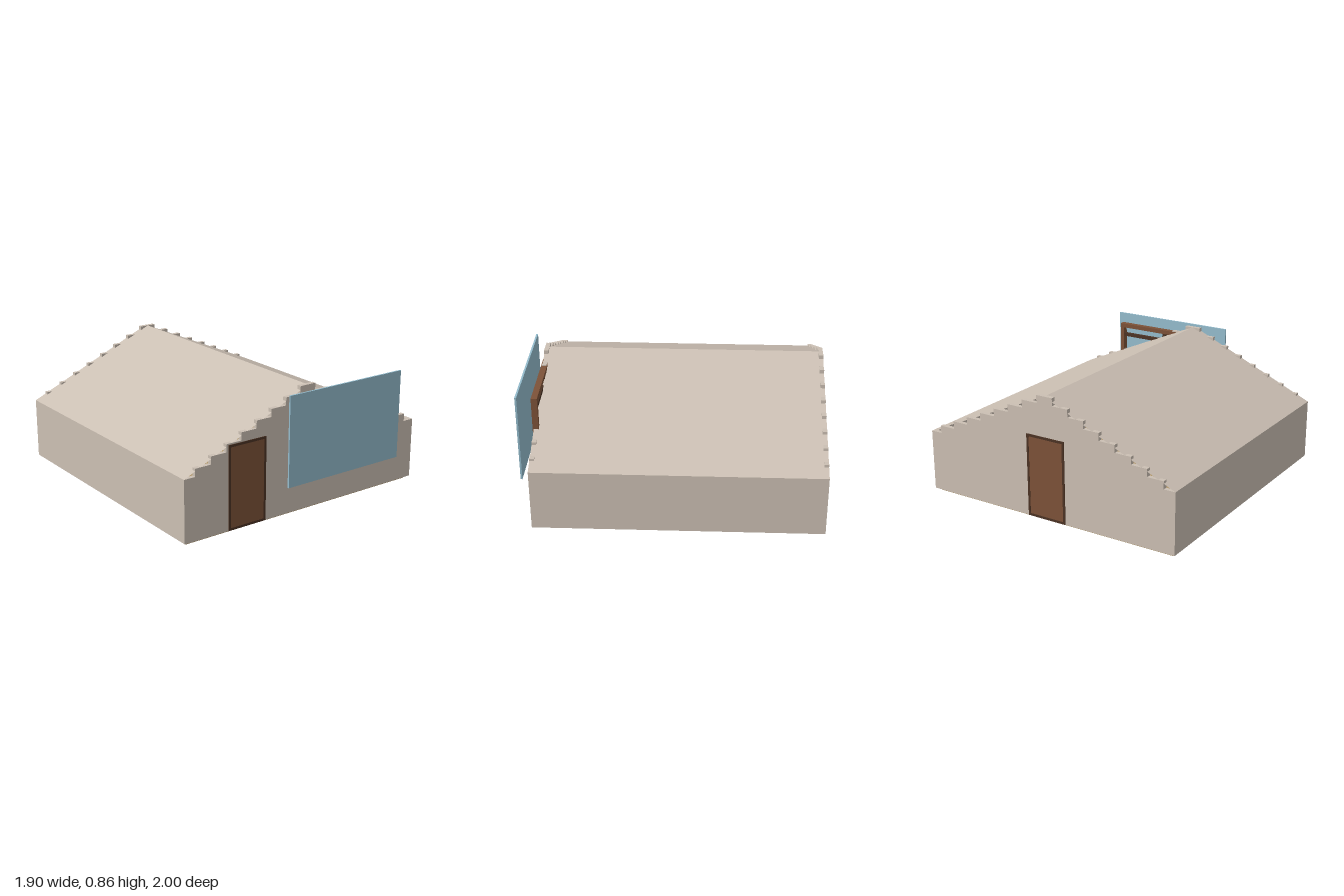
import * as THREE from 'three';

const mat = (color) => new THREE.MeshStandardMaterial({ color, side: THREE.DoubleSide });

const FRONT = 0.905, BACK = -0.995, THICK = 0.03, HALF = 0.95, EAVE = 0.44, RIDGE = 0.86, FLOOR = 0.02;

export function createModel() {
  const model = new THREE.Group();
  const stone = mat(0xcbbfb3), wood = mat(0x7d5238), darkWood = mat(0x4c3324);
  const glass = mat(0x94bccd), boards = mat(0xb0966a);

  // Box given by its min and max corners
  const box = (name, material, [x0, y0, z0], [x1, y1, z1], parent = model) => {
    const mesh = new THREE.Mesh(new THREE.BoxGeometry(x1 - x0, y1 - y0, z1 - z0), material);
    mesh.position.set((x0 + x1) / 2, (y0 + y1) / 2, (z0 + z1) / 2);
    mesh.name = name;
    parent.add(mesh);
    return mesh;
  };

  box('floor', boards, [-0.92, 0, -0.965], [0.92, 0.025, 0.875]);

  // Side walls
  for (const s of [-1, 1]) {
    const inner = s * (HALF - THICK), outer = s * HALF;
    box(s > 0 ? 'leftWall' : 'rightWall', stone,
      [Math.min(inner, outer), FLOOR, BACK], [Math.max(inner, outer), EAVE, FRONT]);
  }

  // Stepped gable outline, from the right eave up to the ridge
  const rise = (RIDGE - EAVE) / 8;
  const rightSteps = [[-HALF, EAVE]];
  for (let i = 1; i <= 8; i++) {
    const x = -0.06 - (8 - i) * 0.1155;
    rightSteps.push([x, EAVE + (i - 1) * rise], [x, EAVE + i * rise]);
  }
  const leftSteps = rightSteps.map(([x, y]) => [-x, y]).reverse();

  const gable = (name, steps, z) => {
    const shape = new THREE.Shape(
      [[-HALF, FLOOR], ...rightSteps, ...steps, [HALF, FLOOR]].map(([x, y]) => new THREE.Vector2(x, y)));
    const mesh = new THREE.Mesh(
      new THREE.ExtrudeGeometry(shape, { depth: THICK, bevelEnabled: false }), stone);
    mesh.position.z = z;
    mesh.name = name;
    model.add(mesh);
  };
  gable('backGable', leftSteps, BACK);

  // The front gable is cut away where the large window breaks the steps
  const opening = [[0.1755, 0.78], [-0.11, 0.78], [-0.11, 0.31], [0.61, 0.31], [0.61, EAVE + 3 * rise]];
  gable('frontGable', [
    ...leftSteps.filter(([x, y]) => x < 0.18 && y > 0.79),
    ...opening,
    ...leftSteps.filter(([x]) => x > 0.62),
  ], FRONT - THICK);

  // Two thin roof slopes
  for (const s of [-1, 1]) {
    const slope = new THREE.Mesh(
      new THREE.PlaneGeometry(Math.hypot(HALF, RIDGE - EAVE), FRONT - BACK), stone);
    slope.geometry.rotateX(-Math.PI / 2);
    slope.rotation.z = -s * Math.atan2(RIDGE - EAVE, HALF);
    slope.position.set(s * HALF / 2, (RIDGE + EAVE) / 2, (FRONT + BACK) / 2);
    slope.name = s > 0 ? 'leftRoof' : 'rightRoof';
    model.add(slope);
  }

  // Rectangular frame of four bars
  const frame = (parent, material, x0, x1, y0, y1, w, z0, z1) => {
    box('lowerBar', material, [x0, y0, z0], [x1, y0 + w, z1], parent);
    box('upperBar', material, [x0, y1 - w, z0], [x1, y1, z1], parent);
    box('rightBar', material, [x0, y0 + w, z0], [x0 + w, y1 - w, z1], parent);
    box('leftBar', material, [x1 - w, y0 + w, z0], [x1, y1 - w, z1], parent);
  };

  // Doors with dark frames, set just proud of the gables
  const door = (name, x, z, turn) => {
    const group = new THREE.Group();
    group.name = name;
    frame(group, darkWood, -0.145, 0.145, FLOOR, 0.588, 0.016, -0.01, 0.005);
    box('doorPanel', wood, [-0.129, FLOOR, -0.01], [0.129, 0.572, 0.003], group);
    group.position.set(x, 0, z);
    group.rotation.y = turn;
    model.add(group);
  };
  door('frontDoor', -0.477, FRONT, 0);
  door('backDoor', 0, BACK, Math.PI);

  // Window frame with mullion and crossbar, rising above the roof slope
  const windowFrame = new THREE.Group();
  windowFrame.name = 'windowFrame';
  frame(windowFrame, wood, -0.14, 0.64, 0.28, 0.8, 0.03, 0.872, 0.912);
  box('mullion', darkWood, [0.235, 0.31, 0.878], [0.265, 0.77, 0.905], windowFrame);
  box('crossbar', darkWood, [-0.11, 0.7, 0.88], [0.61, 0.725, 0.903], windowFrame);
  model.add(windowFrame);

  // Large glass sheet standing off the front
  box('windowGlass', glass, [-0.22, 0.24, 0.988], [0.72, 0.85, 1]);

  return model;
}
